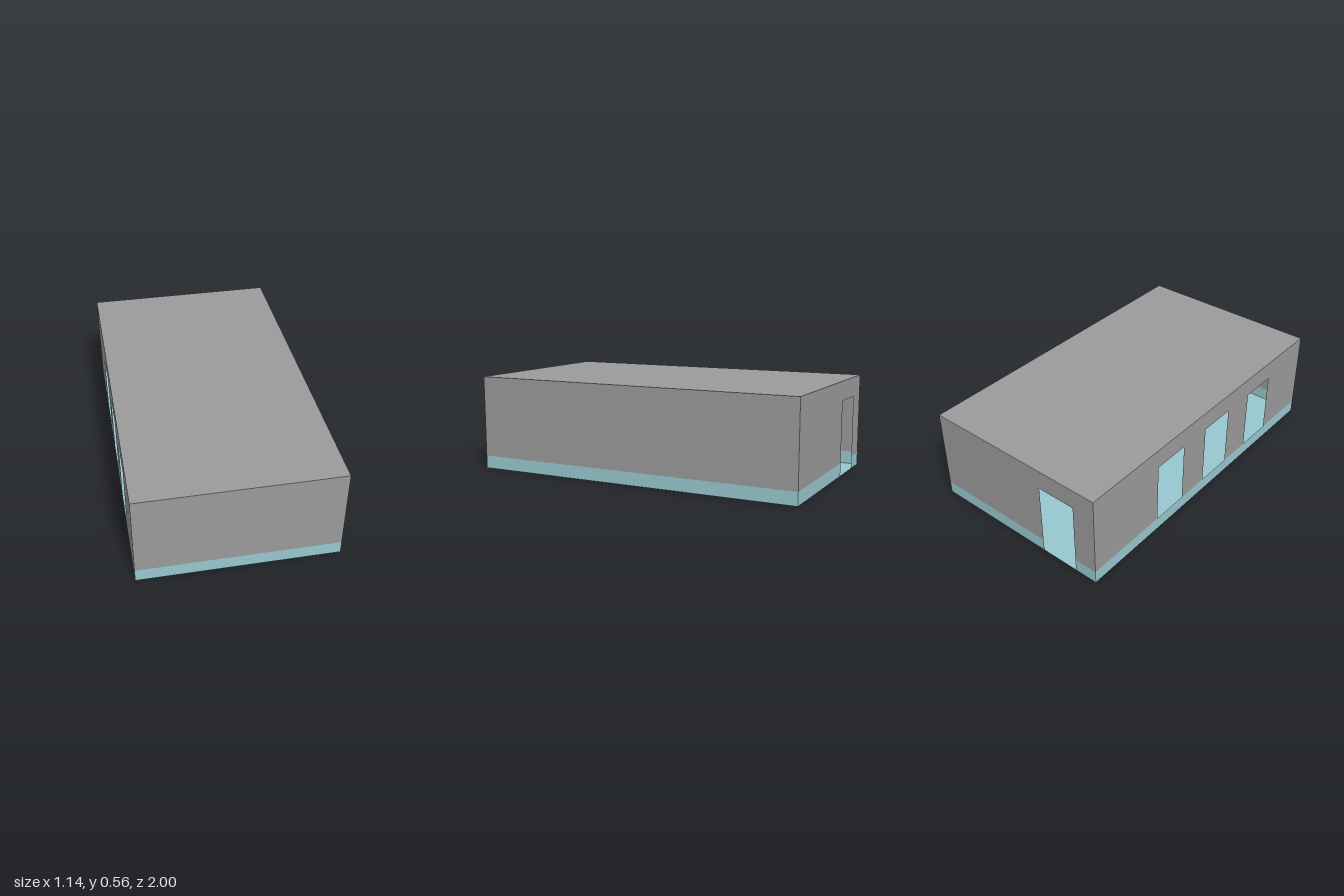
import * as THREE from 'three';

const W = 1.142, D = 2, H = 0.564; // overall size
const BAND = 0.077;                // height of the coloured plinth
const HEAD = 0.447;                // top of the door and windows

const wallMat = new THREE.MeshStandardMaterial({ color: 0x9b9b9b, side: THREE.DoubleSide });
const baseMat = new THREE.MeshStandardMaterial({ color: 0x98c8d0, side: THREE.DoubleSide });

function addMesh(parent, name, geometry, material) {
  const mesh = new THREE.Mesh(geometry, material);
  mesh.name = name;
  parent.add(mesh);
  return mesh;
}

// Wall strip between y0 and y1, notched from below up to notchTop at each opening [u0, u1]
function strip(width, y0, y1, openings, notchTop) {
  const h = width / 2;
  const s = new THREE.Shape().moveTo(-h, y0);
  for (const [a, b] of openings) s.lineTo(a, y0).lineTo(a, notchTop).lineTo(b, notchTop).lineTo(b, y0);
  s.lineTo(h, y0).lineTo(h, y1).lineTo(-h, y1).closePath();
  return new THREE.ShapeGeometry(s);
}

// Plinth pieces left between the doors
function plinth(wall, width, doors) {
  const cuts = [-width / 2, ...doors.flat(), width / 2];
  for (let i = 0; i < cuts.length; i += 2) {
    const w = cuts[i + 1] - cuts[i];
    const piece = addMesh(wall, 'plinth', new THREE.PlaneGeometry(w, BAND), baseMat);
    piece.position.set((cuts[i] + cuts[i + 1]) / 2, BAND / 2, 0);
  }
}

export function createModel() {
  const group = new THREE.Group();
  group.name = 'building';

  const door = [0.195, 0.43];
  const windows = [[-0.475, -0.245], [-0.04, 0.19], [0.4, 0.63]];

  // Thin walls: name, width, turn, distance from centre, openings, doors
  const walls = [
    ['frontWall', W, 0, D / 2, [], []],
    ['backWall', W, Math.PI, D / 2, [door], [door]],
    ['leftWall', D, Math.PI / 2, W / 2, [], []],
    ['rightWall', D, -Math.PI / 2, W / 2, windows, []],
  ];
  for (const [name, width, turn, dist, openings, doors] of walls) {
    const wall = new THREE.Group();
    wall.name = name;
    addMesh(wall, 'upperWall', strip(width, BAND, H, openings, HEAD), wallMat);
    plinth(wall, width, doors);
    wall.rotation.y = turn;
    wall.position.set(Math.sin(turn) * dist, 0, Math.cos(turn) * dist);
    group.add(wall);
  }

  // Roof and floor slabs
  const slab = new THREE.PlaneGeometry(W, D).rotateX(-Math.PI / 2);
  addMesh(group, 'roof', slab, wallMat).position.y = H;
  addMesh(group, 'floor', slab, baseMat);

  return group;
}
